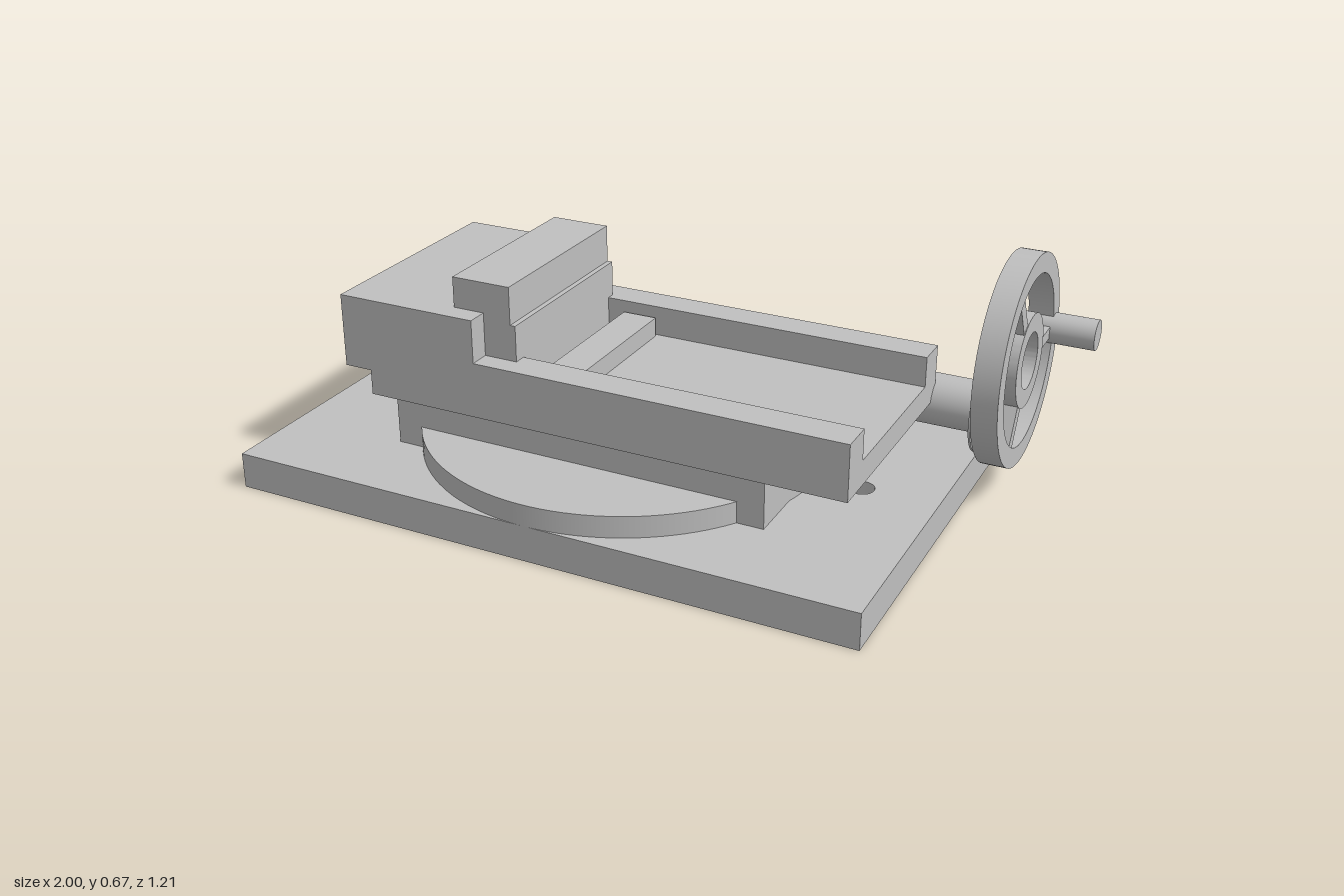
import * as THREE from 'three';
import { toCreasedNormals } from 'three/addons/utils/BufferGeometryUtils.js';

export function createModel() {
  const model = new THREE.Group();
  const steel = new THREE.MeshStandardMaterial({ color: 0xbfbfbf });
  steel.name = 'plain steel grey';

  const add = (name, geometry) => {
    const mesh = new THREE.Mesh(geometry, steel);
    mesh.name = name;
    model.add(mesh);
    return mesh;
  };
  const box = (name, x0, x1, y0, y1, z0, z1) => {
    const g = new THREE.BoxGeometry(x1 - x0, y1 - y0, z1 - z0);
    g.translate((x0 + x1) / 2, (y0 + y1) / 2, (z0 + z1) / 2);
    return add(name, g);
  };
  // Round bar lying along x
  const bar = (name, x0, x1, y, z, r) => {
    const g = new THREE.CylinderGeometry(r, r, x1 - x0, 64);
    g.rotateZ(Math.PI / 2).translate((x0 + x1) / 2, y, z);
    return add(name, g);
  };
  const extrude = (shape, depth) => toCreasedNormals(
    new THREE.ExtrudeGeometry(shape, { depth, bevelEnabled: false, curveSegments: 48 }), 0.5);
  // Section drawn in (-z, y) and pushed from x0 to x1
  const alongX = (name, shape, x0, x1) =>
    add(name, extrude(shape, x1 - x0).rotateY(Math.PI / 2).translate(x0, 0, 0));
  const polygon = (pts) => new THREE.Shape(pts.map(([x, y]) => new THREE.Vector2(x, y)));

  // Base plate with two rounded slots
  const plate = polygon([[-1, -0.6], [0.77, -0.6], [0.77, 0.52], [-1, 0.52]]);
  const slot = (x0, x1, z, r) => {
    const p = new THREE.Path();
    p.absarc(x0 + r, -z, r, Math.PI / 2, Math.PI * 1.5, false);
    p.absarc(x1 - r, -z, r, -Math.PI / 2, Math.PI / 2, false);
    p.closePath();
    plate.holes.push(p);
  };
  slot(-0.835, -0.61, 0.04, 0.035);
  slot(0.37, 0.595, 0.04, 0.035);
  add('basePlate', extrude(plate, 0.1).rotateX(-Math.PI / 2));

  // Swivel disc and the saddle on it
  const disc = new THREE.CylinderGeometry(0.56, 0.56, 0.06, 128);
  add('swivelDisc', disc.translate(-0.12, 0.13, 0.04));
  box('saddle', -0.66, 0.42, 0.1, 0.235, -0.27, 0.35);

  // Vice bed with a long open channel
  alongX('channelBed', polygon([
    [-0.364, 0.235], [0.285, 0.235], [0.285, 0.39], [0.195, 0.39],
    [0.195, 0.305], [-0.27, 0.305], [-0.27, 0.39], [-0.364, 0.39],
  ]), -0.73, 0.64);
  box('rearBlock', -0.81, -0.4, 0.305, 0.51, -0.285, 0.364);

  // Fixed jaw hooked over the rear block
  const jaw = polygon([
    [-0.49, 0.51], [-0.4, 0.51], [-0.4, 0.305], [-0.305, 0.305],
    [-0.305, 0.49], [-0.32, 0.49], [-0.32, 0.595], [-0.49, 0.595],
  ]);
  add('jaw', extrude(jaw, 0.525).translate(0, 0, -0.22));
  box('channelStrip', -0.25, -0.15, 0.305, 0.36, -0.185, 0.265);

  // Drive shaft, flattened on top along its inner end
  const shaftY = 0.218, shaftZ = -0.32, shaftR = 0.071;
  const flat = 0.9;
  const section = new THREE.Shape();
  section.absarc(-shaftZ, shaftY, shaftR, Math.PI - flat, Math.PI * 2 + flat, false);
  section.closePath();
  alongX('flattenedShaft', section, -0.15, 0.335);
  bar('shaft', 0.335, 0.81, shaftY, shaftZ, shaftR);
  bar('shaftCollar', 0.762, 0.768, 0.22, shaftZ, 0.122);

  // Handwheel: rim, hub, three spokes and a handle
  const wheelY = 0.38, wheelZ = -0.317;
  const ring = (outer, inner) => {
    const s = new THREE.Shape();
    s.absarc(-wheelZ, wheelY, outer, 0, Math.PI * 2, false);
    const hole = new THREE.Path();
    hole.absarc(-wheelZ, wheelY, inner, 0, Math.PI * 2, true);
    s.holes.push(hole);
    return s;
  };
  alongX('wheelRim', ring(0.288, 0.233), 0.81, 0.88);
  alongX('wheelHub', ring(0.128, 0.077), 0.81, 0.88);
  for (let i = 0; i < 3; i++) {
    const g = new THREE.BoxGeometry(0.066, 0.034, 0.12);
    g.translate(0, 0, -0.18).rotateX(i * Math.PI * 2 / 3);
    add('wheelSpoke', g.translate(0.845, wheelY, wheelZ));
  }
  bar('wheelHandle', 0.81, 1, wheelY, -0.564, 0.043);

  return model;
}
